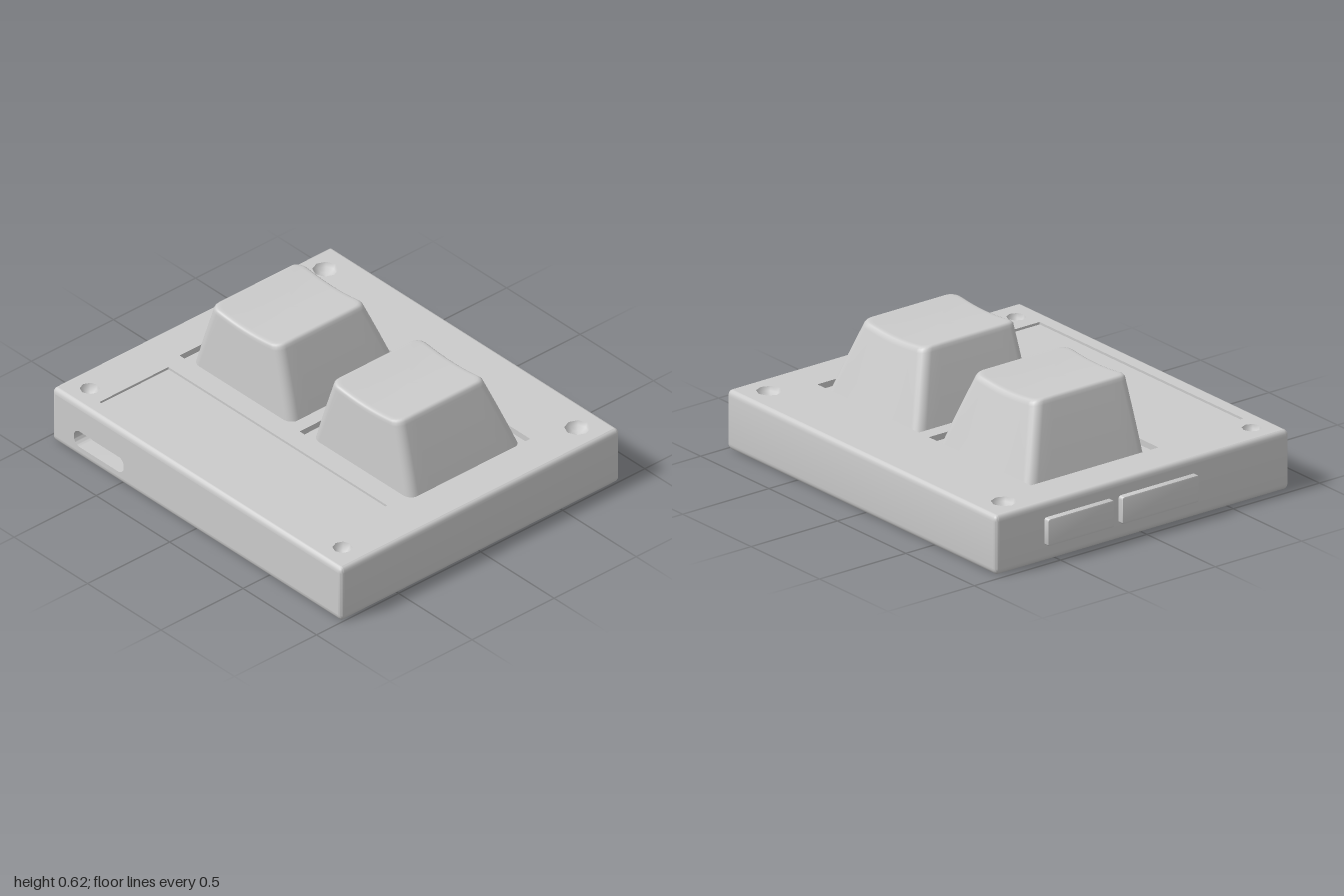
import * as THREE from 'three';
import { toCreasedNormals } from 'three/addons/utils/BufferGeometryUtils.js';

const grey = new THREE.MeshStandardMaterial({ color: 0xcccccc });
const TOP = 0.29, BEVEL = 0.02, BEVEL_H = 0.03;

function mesh(name, geometry) {
  const m = new THREE.Mesh(geometry, grey);
  m.name = name;
  return m;
}

function fromPositions(list) {
  const g = new THREE.BufferGeometry();
  g.setAttribute('position', new THREE.Float32BufferAttribute(list, 3));
  return toCreasedNormals(g, 0.6);
}

// Rounded rectangle, counter-clockwise (r = 0 gives square corners)
function rect(x0, x1, y0, y1, r = 0) {
  const s = new THREE.Shape();
  if (!r) return s.setFromPoints([[x0, y0], [x1, y0], [x1, y1], [x0, y1]].map(p => new THREE.Vector2(...p)));
  s.absarc(x1 - r, y0 + r, r, -Math.PI / 2, 0);
  s.absarc(x1 - r, y1 - r, r, 0, Math.PI / 2);
  s.absarc(x0 + r, y1 - r, r, Math.PI / 2, Math.PI);
  s.absarc(x0 + r, y0 + r, r, Math.PI, Math.PI * 1.5);
  return s;
}

// Walls and floor sunk below a hole in the local XY plane
function pocket(name, shape, depth) {
  const g = new THREE.Group(), pos = [];
  g.name = name;
  const pts = shape.getPoints(6);
  pts.forEach((a, i) => {
    const b = pts[(i + 1) % pts.length];
    if (a.distanceTo(b) < 1e-6) return;
    pos.push(a.x, a.y, 0, b.x, b.y, 0, b.x, b.y, -depth,
      a.x, a.y, 0, b.x, b.y, -depth, a.x, a.y, -depth);
  });
  g.add(mesh(name + 'Walls', fromPositions(pos)));
  g.add(mesh(name + 'Floor', new THREE.ShapeGeometry(shape, 6).translate(0, 0, -depth)));
  return g;
}

// Tapered keycap with rounded corners and a dished top, lofted from rings
function keycap() {
  const ARC = 5, STRAIGHT = 8, pos = [], index = [];
  const dish = z => 0.6 + 0.02 * (z / 0.225) ** 2;
  const signs = [[1, 1], [-1, 1], [-1, -1], [1, -1]];
  const ring = (hx, hz, r) => {
    const corner = (k, j) => {
      const a = (k + j / ARC) * Math.PI / 2, [sx, sz] = signs[k % 4];
      return [sx * (hx - r) + Math.cos(a) * r, sz * (hz - r) + Math.sin(a) * r];
    };
    const pts = [];
    for (let k = 0; k < 4; k++) {
      for (let j = 0; j <= ARC; j++) pts.push(corner(k, j));
      const a = corner(k, ARC), b = corner(k + 1, 0);
      for (let j = 1; j < STRAIGHT; j++) {
        const t = j / STRAIGHT;
        pts.push([a[0] + (b[0] - a[0]) * t, a[1] + (b[1] - a[1]) * t]);
      }
    }
    return pts;
  };
  const rings = [];
  const lerp = THREE.MathUtils.lerp;
  // sloping walls
  for (const t of [0, 0.25, 0.5, 0.75, 0.92, 0.965]) {
    const x0 = lerp(-0.213, -0.196, t), x1 = lerp(0.466, 0.345, t);
    rings.push(ring((x1 - x0) / 2, lerp(0.338, 0.227, t), 0.05)
      .map(([x, z]) => [x + (x0 + x1) / 2, lerp(0.26, dish(z), t), z]));
  }
  // rim and dished top
  for (const [s, drop] of [[0.985, 0.004], [0.95, 0], [0.9, 0], [0.6, 0], [0.3, 0], [0.001, 0]]) {
    rings.push(ring(0.2705 * s, 0.227 * s, 0.05 * s)
      .map(([x, z]) => [x + 0.0745, dish(z) - drop, z]));
  }
  const n = rings[0].length;
  rings.forEach((pts, i) => pts.forEach((p, j) => {
    pos.push(...p);
    if (i === 0) return;
    const k = (j + 1) % n, a = (i - 1) * n + j, b = (i - 1) * n + k, d = i * n + j, c = i * n + k;
    index.push(a, d, b, b, d, c);
  }));
  const g = new THREE.BufferGeometry();
  g.setAttribute('position', new THREE.Float32BufferAttribute(pos, 3));
  g.setIndex(index);
  g.computeVertexNormals();
  return g;
}

export function createModel() {
  const model = new THREE.Group();
  model.name = 'keypad';

  // Case: bevelled side band, with the flat left-hand wall taken out for the port
  const outline = rect(-0.85 + BEVEL, 0.85 - BEVEL, -1 + BEVEL, 0.97 - BEVEL, 0.002);
  const shell = new THREE.ExtrudeGeometry(outline, {
    depth: TOP - 2 * BEVEL_H, bevelThickness: BEVEL_H, bevelSize: BEVEL, bevelSegments: 4, curveSegments: 4,
  }).translate(0, 0, BEVEL_H).rotateX(-Math.PI / 2);
  const { start, count } = shell.groups[1], src = shell.attributes.position.array;
  const band = [], wallBox = new THREE.Box3();
  for (let i = start; i < start + count; i += 3) {
    const tri = Array.from(src.slice(i * 3, i * 3 + 9));
    if (Math.max(tri[0], tri[3], tri[6]) < -0.8499) {
      for (let k = 0; k < 9; k += 3) wallBox.expandByPoint(new THREE.Vector3(tri[k], tri[k + 1], tri[k + 2]));
    } else band.push(...tri);
  }
  model.add(mesh('caseSides', fromPositions(band)));
  model.add(mesh('caseBottom', new THREE.ShapeGeometry(outline, 4).scale(1, -1, 1).rotateX(Math.PI / 2)));
  const bottom = model.children[1].geometry.index; // restore winding after the mirror
  for (let i = 0; i < bottom.count; i += 3) {
    const a = bottom.getX(i);
    bottom.setX(i, bottom.getX(i + 1));
    bottom.setX(i + 1, a);
  }
  model.children[1].geometry.computeVertexNormals();

  // Side wall with port slot
  const slot = rect(-0.82, -0.48, 0.055, 0.14, 0.04);
  const wall = rect(wallBox.min.z, wallBox.max.z, wallBox.min.y, wallBox.max.y);
  wall.holes.push(slot);
  const portSide = new THREE.Group();
  portSide.name = 'portSide';
  portSide.add(mesh('portWall', new THREE.ShapeGeometry(wall, 6)), pocket('portSlot', slot, 0.08));
  portSide.rotation.y = -Math.PI / 2;
  portSide.position.x = -0.85;
  model.add(portSide);

  // Top plate with key wells, display recess and screw holes
  const top = outline.clone();
  const deck = new THREE.Group();
  deck.name = 'deck';
  deck.rotation.x = -Math.PI / 2;
  deck.position.y = TOP;
  const recesses = [
    ['backKeyWell', rect(-0.25, 0.49, 0.025, 0.77), 0.03],
    ['frontKeyWell', rect(-0.25, 0.49, -0.79, -0.047), 0.03],
    ['displayRecess', rect(-0.77, -0.35, -0.755, 0.735), 0.012],
  ];
  for (const [name, shape, depth] of recesses) {
    top.holes.push(shape);
    deck.add(pocket(name, shape, depth));
  }
  for (const [x, z, r] of [[-0.73, -0.845, 0.046], [0.705, -0.845, 0.06], [-0.725, 0.87, 0.046], [0.71, 0.865, 0.06]]) {
    const hole = new THREE.Path();
    hole.setFromPoints(Array.from({ length: 8 }, (_, i) =>
      new THREE.Vector2(x + r * Math.cos(i * Math.PI / 4), -z + r * Math.sin(i * Math.PI / 4))));
    top.holes.push(hole);
    const profile = [[r, 0], [r * 0.85, -0.02], [r * 0.5, -0.036], [0, -0.042]].map(p => new THREE.Vector2(...p));
    const bowl = mesh('screwHole', new THREE.LatheGeometry(profile, 8));
    bowl.position.set(x, TOP, z);
    model.add(bowl);
  }
  deck.add(mesh('topPlate', new THREE.ShapeGeometry(top, 4)));
  model.add(deck);

  // Keycaps
  const capGeometry = keycap();
  for (const [name, z] of [['backKeycap', -0.393], ['frontKeycap', 0.423]]) {
    const cap = mesh(name, capGeometry);
    cap.position.z = z;
    model.add(cap);
  }

  // Two push buttons on the back edge
  for (const [x0, x1] of [[-0.305, 0.14], [0.185, 0.57]]) {
    const b = 0.008;
    const g = new THREE.ExtrudeGeometry(rect(x0 + b, x1 - b, 0.08 + b, 0.215 - b, 0.006), {
      depth: 0.04, bevelThickness: b, bevelSize: b, bevelSegments: 2, curveSegments: 3,
    });
    const button = mesh('backButton', toCreasedNormals(g, 0.6));
    button.position.z = -1 + b;
    model.add(button);
  }
  return model;
}
